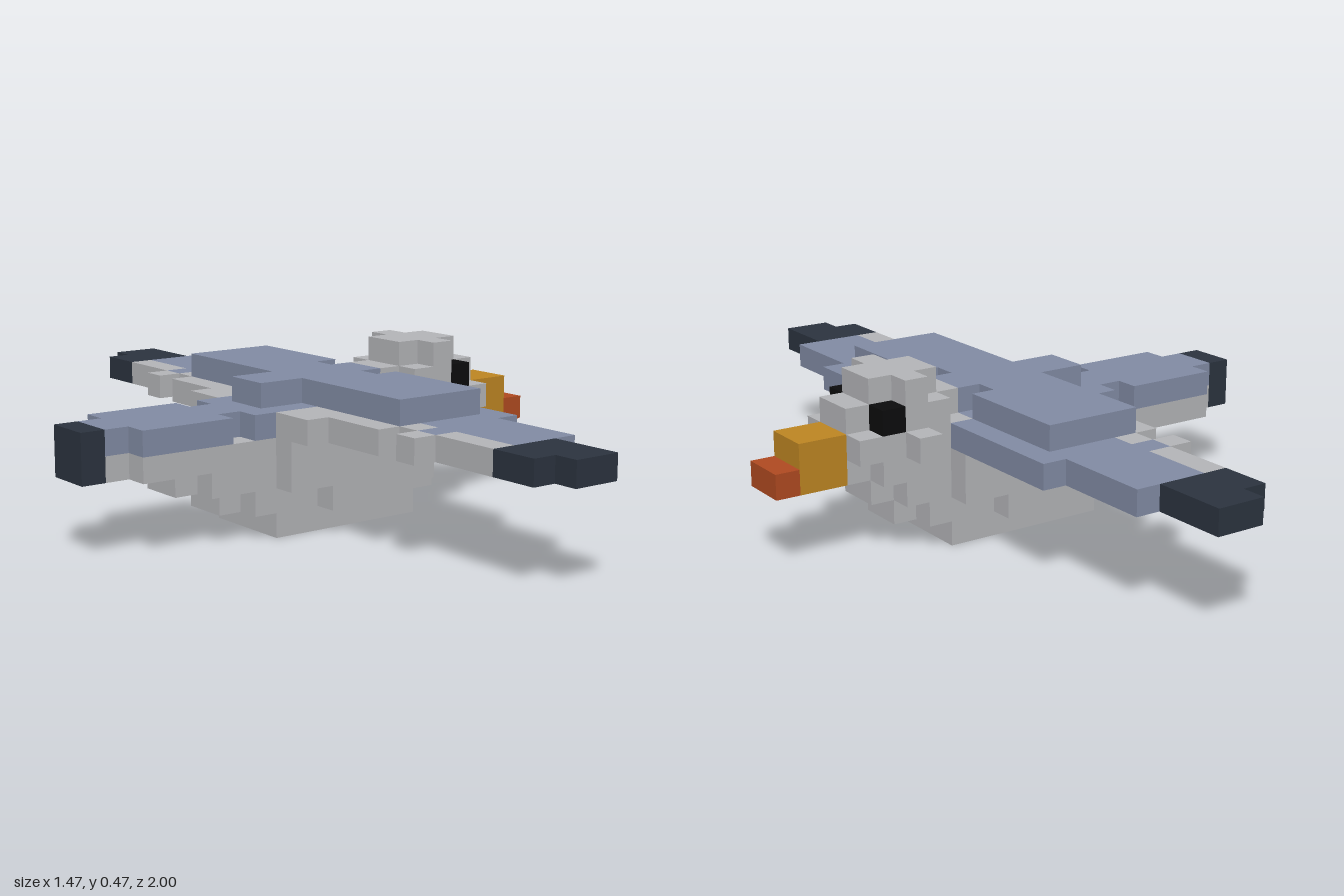
import * as THREE from 'three';

const U = 1 / 15; // edge of one block

const material = (name, color) => {
  const m = new THREE.MeshStandardMaterial({ color });
  m.name = name;
  return m;
};

export function createModel() {
  const grey = material('light grey plumage', 0xb6b7ba);
  const blue = material('blue grey plumage', 0x838da6);
  const dark = material('dark feather tips', 0x2c3440);
  const black = material('eye black', 0x0c0c0d);
  const orange = material('beak orange', 0xc08723);
  const red = material('beak tip red', 0xb24b21);

  const model = new THREE.Group();
  model.name = 'bird';

  const group = (name) => {
    const g = new THREE.Group();
    g.name = name;
    model.add(g);
    return g;
  };
  // Box between block coordinates
  const box = (parent, name, mat, x0, x1, y0, y1, z0, z1) => {
    const mesh = new THREE.Mesh(
      new THREE.BoxGeometry((x1 - x0) * U, (y1 - y0) * U, (z1 - z0) * U), mat);
    mesh.position.set((x0 + x1) / 2 * U, (y0 + y1) / 2 * U, (z0 + z1) / 2 * U);
    mesh.name = name;
    parent.add(mesh);
  };
  // Box centred on the body's mid-plane
  const mid = (parent, name, mat, x0, x1, y0, y1, half) =>
    box(parent, name, mat, x0, x1, y0, y1, -half, half);
  // Mirrored pair of boxes
  const pair = (parent, name, mat, x0, x1, y0, y1, z0, z1) => {
    box(parent, name, mat, x0, x1, y0, y1, z0, z1);
    box(parent, name, mat, x0, x1, y0, y1, -z1, -z0);
  };

  // Stepped belly: [x0, x1, y0, y1, half width]
  const body = group('body');
  [
    [-3, 4, 0, 1, 2],
    [-4, 5, 1, 2, 2], [-5, 6, 1, 2, 1],
    [-6, 6, 2, 3, 2], [-7, 7, 2, 3, 1],
    [-9, 7, 3, 4, 2], [-10, 8, 3, 4, 1],
  ].forEach(([x0, x1, y0, y1, h]) => mid(body, 'belly', grey, x0, x1, y0, y1, h));
  pair(body, 'flank', grey, -3, 4, 2, 4, 2, 3);
  pair(body, 'lowerFlank', grey, -1, 2, 1, 2, 2, 3);

  // Back and tail
  const tail = group('tail');
  mid(tail, 'back', blue, -4, 3, 4, 5, 2);
  mid(tail, 'tailWaist', blue, -5, -4, 4, 5, 1);
  mid(tail, 'tailFeathers', blue, -9, -5, 4, 5, 2);
  mid(tail, 'tailEnd', blue, -10, -9, 4, 5, 1);
  mid(tail, 'tailTip', dark, -11, -10, 3, 5, 1);

  // Raised mantle across the shoulders
  const mantle = group('mantle');
  mid(mantle, 'mantleCentre', blue, -3, 3, 5, 6, 1);
  pair(mantle, 'mantleNotch', blue, -1, 2, 5, 6, 1, 2);
  pair(mantle, 'mantleSide', blue, -1, 3, 5, 6, 2, 7);

  // Wings
  const wings = group('wings');
  pair(wings, 'innerWing', blue, -1, 4, 4, 5, 2, 7);
  pair(wings, 'middleWing', blue, 0, 4, 4, 5, 7, 8);
  pair(wings, 'outerWing', blue, 0, 3, 4, 5, 8, 12);
  pair(wings, 'wingPatch', blue, -1, 0, 4, 5, 8, 9);
  pair(wings, 'wingTip', dark, -1, 2, 4, 5, 12, 14);
  pair(wings, 'wingTipEnd', dark, 0, 2, 4, 5, 14, 15);
  // Grey trailing feathers: [x0, x1, z0, z1]
  [[-3, -1, 2, 4], [-2, -1, 4, 7], [-1, 0, 7, 8], [-2, -1, 8, 9], [-1, 0, 9, 12]]
    .forEach(([x0, x1, z0, z1]) => pair(wings, 'trailingFeather', grey, x0, x1, 4, 5, z0, z1));

  // Head
  const head = group('head');
  mid(head, 'face', grey, 3, 8, 4, 5, 2);
  mid(head, 'brow', grey, 3, 8, 5, 6, 1);
  pair(head, 'headSide', grey, 4, 6, 5, 6, 1, 2);
  mid(head, 'crown', grey, 4, 7, 6, 7, 1);
  pair(head, 'crownSide', grey, 5, 6, 6, 7, 1, 2);
  pair(head, 'cheek', grey, 5, 6, 4, 5, 2, 3);
  pair(head, 'eye', black, 6, 7, 5, 6, 1, 2);

  // Beak
  const beak = group('beak');
  mid(beak, 'beakBase', orange, 8, 10, 3, 5, 1);
  mid(beak, 'beakTip', red, 10, 11, 3, 4, 1);

  return model;
}
